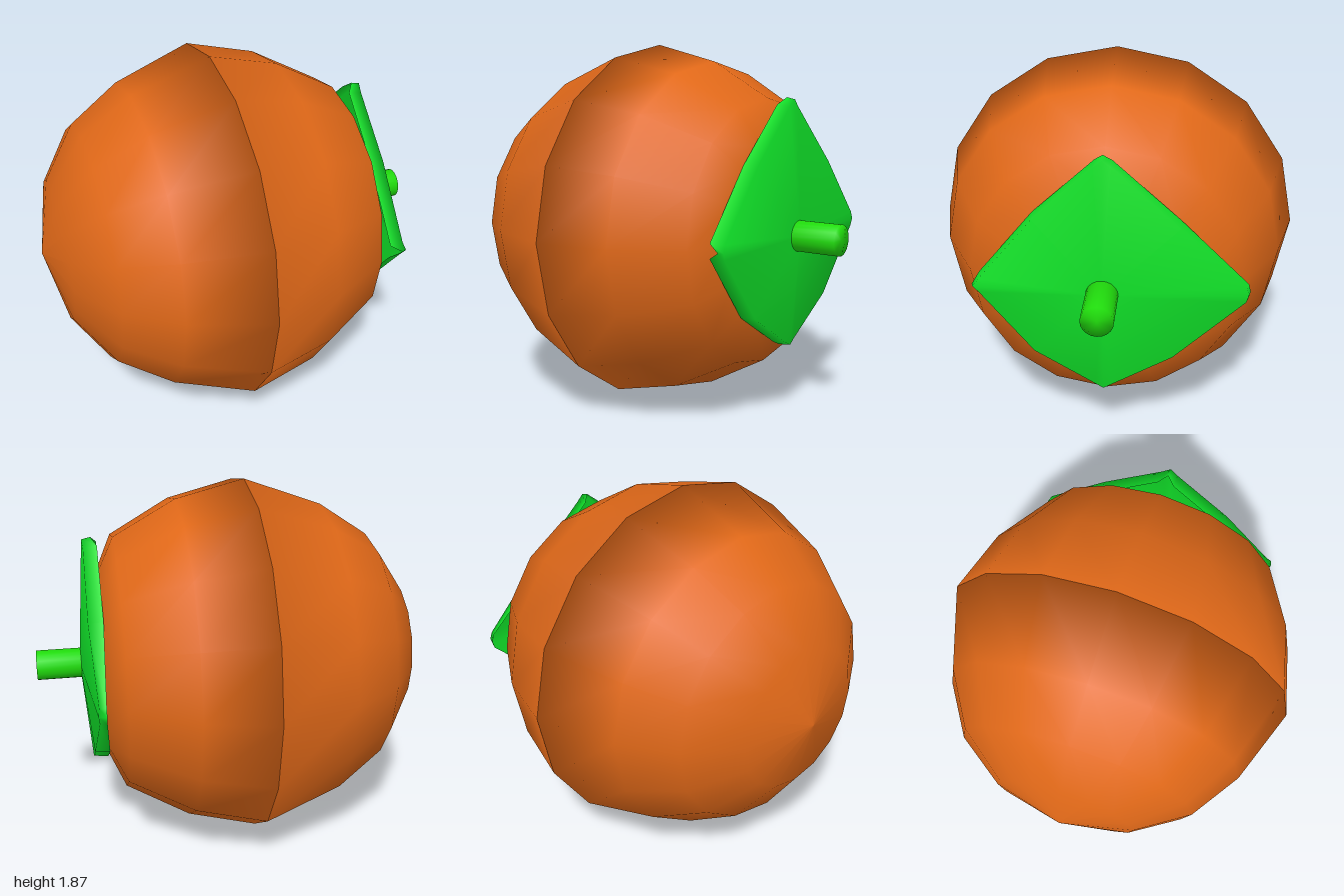
import * as THREE from 'three';

const CENTRE_Y = 0.934;

// Solid of revolution around the x axis; profile points are [x, radius]
function turned(name, profile, sides, color) {
  const geo = new THREE.LatheGeometry(profile.map(([x, r]) => new THREE.Vector2(r, x)), sides);
  geo.rotateZ(-Math.PI / 2);
  const mesh = new THREE.Mesh(geo, new THREE.MeshStandardMaterial({ color }));
  mesh.name = name;
  return mesh;
}

// Four-pointed leaf cap: raised centre, upper outline, and a turned-down rim
function leafCap() {
  // outline: [z, y, upper x, rim x], running from the top tip towards +z
  const outline = [
    [0, 0.67, 0.735, 0.69], [0.04, 0.635, 0.73, 0.66],
    [0.33, 0.365, 0.735, 0.66], [0.6, 0.035, 0.735, 0.66],
    [0.625, 0, 0.745, 0.72], [0.6, -0.035, 0.735, 0.66],
    [0.34, -0.36, 0.735, 0.66], [0.04, -0.545, 0.73, 0.66],
    [0, -0.565, 0.735, 0.67], [-0.04, -0.545, 0.73, 0.66],
    [-0.34, -0.36, 0.735, 0.66], [-0.68, -0.04, 0.715, 0.68],
    [-0.69, 0, 0.72, 0.68], [-0.68, 0.04, 0.715, 0.68],
    [-0.36, 0.345, 0.735, 0.66], [-0.04, 0.635, 0.73, 0.66],
  ];
  const n = outline.length;
  const pos = [0.78, 0, 0];
  for (const [z, y, top] of outline) pos.push(top, y * 0.985, z * 0.985);
  for (const [z, y, , rim] of outline) pos.push(rim, y, z);
  const index = [];
  for (let i = 0; i < n; i++) {
    const a = 1 + i, b = 1 + (i + 1) % n;
    index.push(0, a, b, a, a + n, b, b, a + n, b + n);
  }
  const geo = new THREE.BufferGeometry();
  geo.setAttribute('position', new THREE.Float32BufferAttribute(pos, 3));
  geo.setIndex(index);
  geo.computeVertexNormals();
  const mesh = new THREE.Mesh(geo, new THREE.MeshStandardMaterial({ color: 0x10e028, side: THREE.DoubleSide }));
  mesh.name = 'leafCap';
  return mesh;
}

export function createModel() {
  const fruit = new THREE.Group();
  fruit.name = 'fruit';

  // Two closed halves meeting at a seam; their rounded rims shade like a groove
  fruit.add(turned('blossomHalf', [
    [-1, 0], [-0.915, 0.365], [-0.745, 0.62], [-0.49, 0.79], [-0.09, 0.934], [-0.09, 0],
  ], 16, 0xe06818));
  fruit.add(turned('stemHalf', [
    [-0.09, 0], [-0.09, 0.934], [0.26, 0.845], [0.58, 0.665], [0.665, 0.475], [0.7, 0.3], [0.71, 0],
  ], 16, 0xe06818));

  fruit.add(leafCap());

  // Stem with softly shaded end
  fruit.add(turned('stem', [[0.7, 0], [0.7, 0.077], [1, 0.077], [1, 0]], 20, 0x20dc0c));

  fruit.position.y = CENTRE_Y;
  const model = new THREE.Group();
  model.name = 'model';
  model.add(fruit);
  return model;
}
